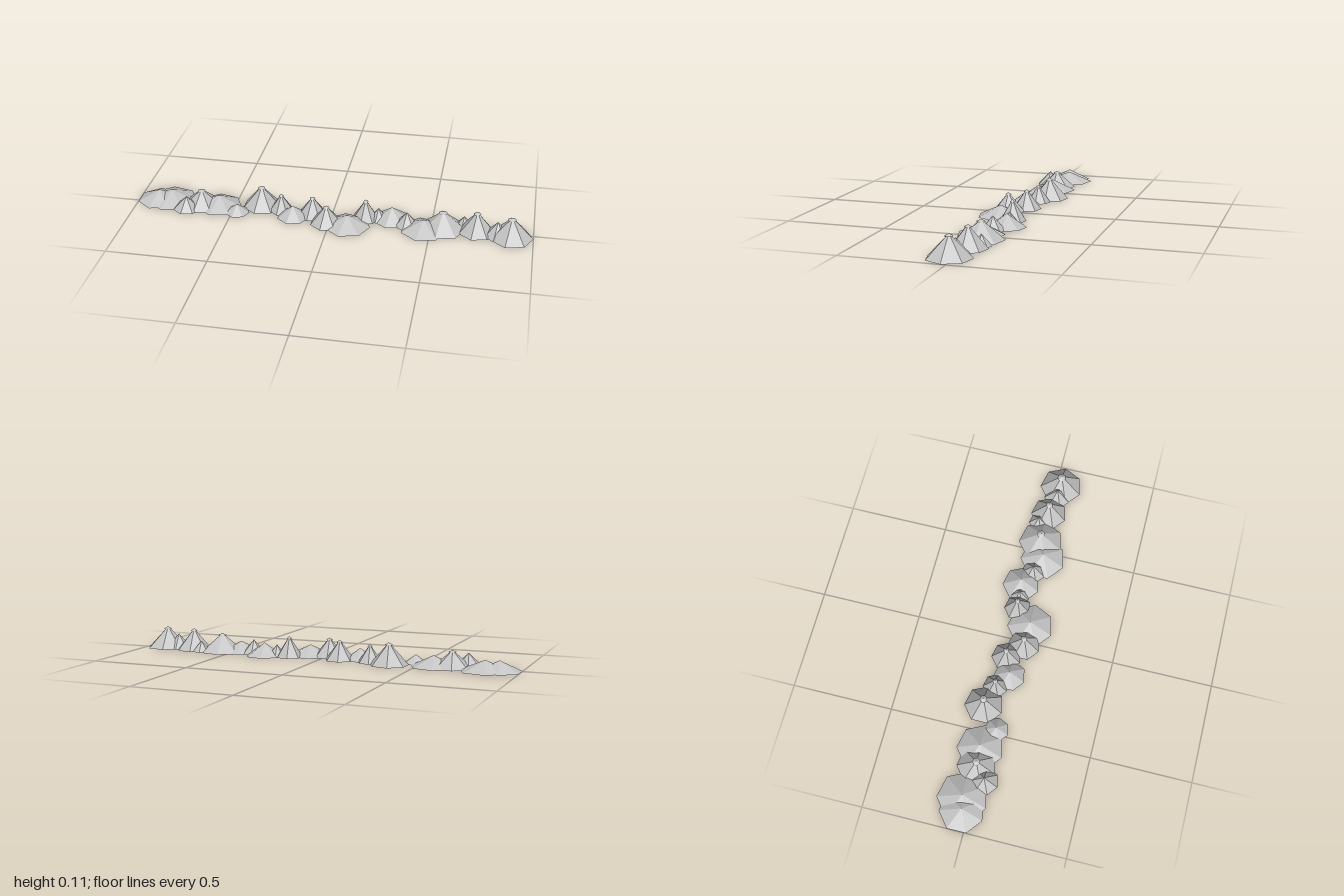
import * as THREE from 'three';

// Each mound: x, z, radius, height
const MOUNDS = [
  [-0.90, -0.035, 0.11, 0.052], [-0.835, -0.048, 0.125, 0.052],
  [-0.735, 0.033, 0.07, 0.068], [-0.67, -0.022, 0.098, 0.085],
  [-0.58, -0.028, 0.115, 0.055], [-0.475, 0.025, 0.062, 0.044],
  [-0.367, -0.065, 0.097, 0.11], [-0.26, -0.035, 0.062, 0.09],
  [-0.19, 0.02, 0.08, 0.06], [-0.097, -0.02, 0.075, 0.10],
  [-0.015, 0.05, 0.082, 0.097], [0.09, 0.056, 0.116, 0.055],
  [0.17, -0.03, 0.068, 0.105], [0.235, -0.035, 0.05, 0.06],
  [0.30, -0.043, 0.095, 0.067], [0.38, 0.0, 0.062, 0.072],
  [0.465, 0.03, 0.115, 0.055], [0.557, -0.003, 0.113, 0.095],
  [0.66, -0.04, 0.05, 0.055], [0.723, 0.0, 0.092, 0.11],
  [0.825, 0.02, 0.067, 0.075], [0.892, 0.025, 0.108, 0.109],
];

// Open seven-sided cone with its tip at y = 1 and one corner on +x
function coneGeometry(radius, height) {
  const geometry = new THREE.ConeGeometry(radius, height, 7, 1, true)
    .rotateY(Math.PI / 2).translate(0, 1 - height / 2, 0).toNonIndexed();
  geometry.computeVertexNormals(); // flat facets
  return geometry;
}

export function createModel() {
  const model = new THREE.Group();
  model.name = 'rubbleRidge';
  const stone = new THREE.MeshStandardMaterial({ color: 0xc4c4c4, side: THREE.DoubleSide });
  stone.name = 'stoneGrey';
  const slopes = coneGeometry(1, 1);
  const tip = coneGeometry(0.2, 0.11);

  MOUNDS.forEach(([x, z, radius, height], i) => {
    const mound = new THREE.Group();
    mound.name = `stoneMound${i + 1}`;
    mound.position.set(x, 0, z);
    mound.scale.set(radius, height, radius);
    const body = new THREE.Mesh(slopes, stone);
    body.name = 'slopes';
    mound.add(body);
    // Tall mounds carry a blunt tip
    if (height > 0.08) {
      const cap = new THREE.Mesh(tip, stone);
      cap.name = 'tip';
      mound.add(cap);
    }
    model.add(mound);
  });
  return model;
}
